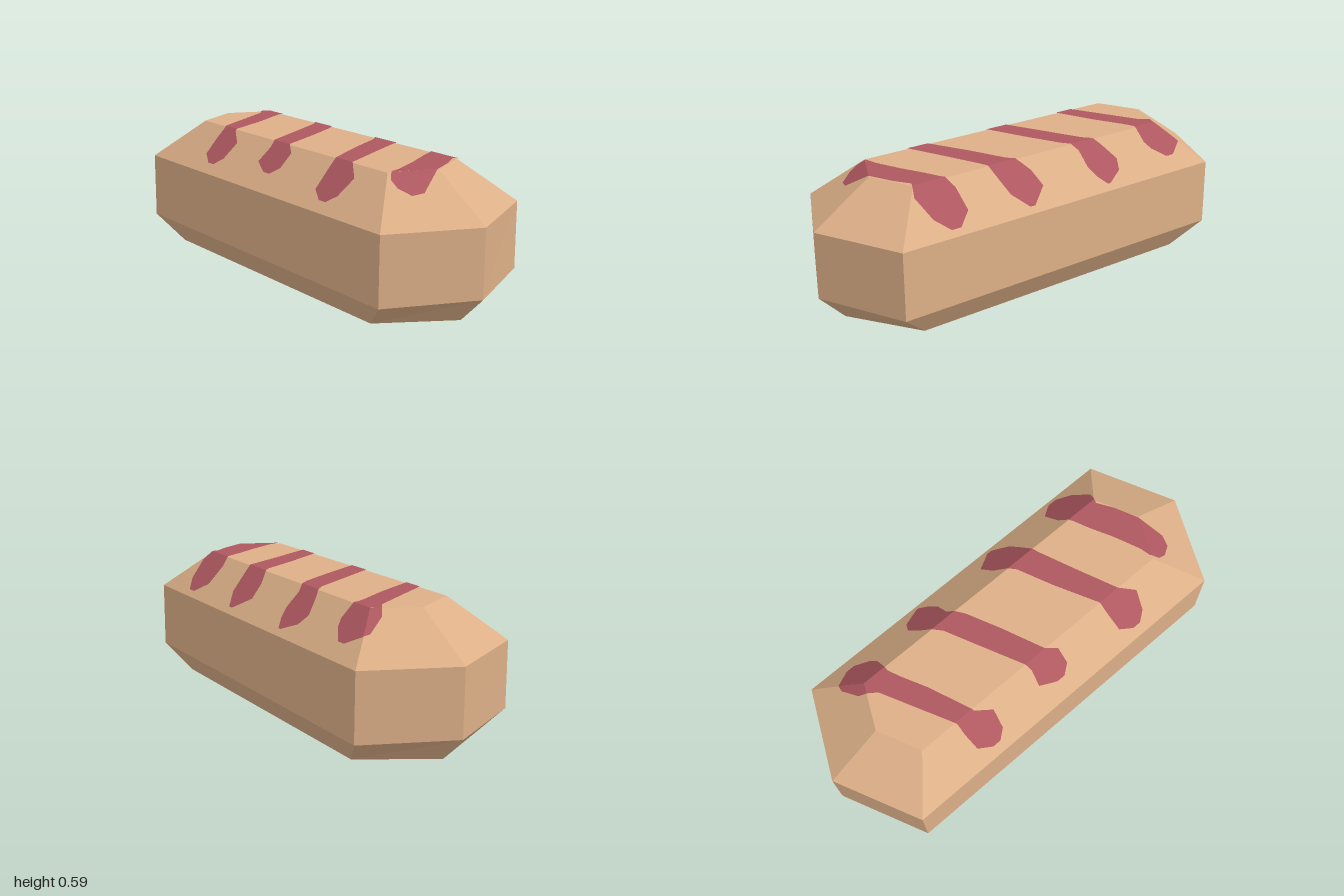
import * as THREE from 'three';

// Six-sided outline at one height: half width, side corner z, tip z (counter-clockwise from above)
const ring = (y, w, c, t) =>
  [[0, t], [w, c], [w, -c], [0, -t], [-w, -c], [-w, c]].map(([x, z]) => new THREE.Vector3(x, y, z));

const rings = [
  ring(0, 0.303, 0.69, 0.885),
  ring(0.118, 0.38, 0.82, 1),
  ring(0.411, 0.377, 0.82, 1),
  ring(0.585, 0.19, 0.65, 0.74),
];

// Faces between two neighbouring outlines
const band = (lo, hi) => lo.map((p, i) => {
  const j = (i + 1) % lo.length;
  return [p, lo[j], hi[j], hi[i]];
});

// Flat-shaded geometry from convex polygons
function fromPolygons(polys) {
  const pos = [];
  for (const p of polys)
    for (let i = 1; i < p.length - 1; i++)
      for (const v of [p[0], p[i], p[i + 1]]) pos.push(v.x, v.y, v.z);
  const g = new THREE.BufferGeometry();
  g.setAttribute('position', new THREE.Float32BufferAttribute(pos, 3));
  g.computeVertexNormals();
  return g;
}

// Clip a polygon, seen from above, to the outline of a convex face
function clipToFace(poly, face) {
  face.forEach((p, i) => {
    const q = face[(i + 1) % face.length];
    const side = (s) => (q.z - p.z) * (s.x - p.x) - (q.x - p.x) * (s.z - p.z);
    const out = [];
    poly.forEach((a, k) => {
      const b = poly[(k + 1) % poly.length];
      const da = side(a), db = side(b);
      if (da >= 0) out.push(a);
      if ((da >= 0) !== (db >= 0)) out.push(a.clone().lerp(b, da / (da - db)));
    });
    poly = out;
  });
  return poly;
}

// Drop a flat polygon onto the plane of a face, just above it
function drape(poly, face) {
  const plane = new THREE.Plane().setFromCoplanarPoints(face[0], face[1], face[2]);
  const n = plane.normal;
  return poly.map((v) => new THREE.Vector3(
    v.x, -(plane.constant + n.x * v.x + n.z * v.z) / n.y + 0.004, v.z));
}

// Sauce stripes: [x, back z, front z] along each stripe
const stripes = [
  [[-0.34, -0.4, -0.36], [-0.31, -0.46, -0.32], [-0.24, -0.47, -0.31], [-0.2, -0.47, -0.38], [0, -0.57, -0.46],
    [0.12, -0.63, -0.52], [0.17, -0.7, -0.54], [0.25, -0.735, -0.54], [0.28, -0.73, -0.56], [0.32, -0.66, -0.62]],
  [[-0.31, -0.01, 0.03], [-0.28, -0.09, 0.07], [-0.22, -0.08, 0.07], [-0.19, -0.09, 0.02], [0, -0.18, -0.06],
    [0.15, -0.25, -0.13], [0.22, -0.31, -0.18], [0.28, -0.35, -0.18], [0.32, -0.33, -0.2], [0.355, -0.25, -0.235]],
  [[-0.34, 0.41, 0.45], [-0.31, 0.35, 0.49], [-0.24, 0.34, 0.51], [-0.19, 0.335, 0.44], [0, 0.24, 0.36],
    [0.16, 0.17, 0.295], [0.24, 0.1, 0.27], [0.3, 0.08, 0.25], [0.355, 0.165, 0.19]],
  [[-0.2, 0.68, 0.72], [-0.17, 0.65, 0.77], [-0.12, 0.64, 0.785], [0, 0.59, 0.735], [0.1, 0.54, 0.69],
    [0.17, 0.51, 0.645], [0.23, 0.475, 0.67], [0.31, 0.47, 0.635], [0.355, 0.535, 0.58]],
];

export function createModel() {
  const model = new THREE.Group();
  model.name = 'stripedBun';

  const crust = new THREE.MeshStandardMaterial({ color: 0xdcaf87 });
  crust.name = 'crust';
  const sauce = new THREE.MeshStandardMaterial({ color: 0xaf5860 });
  sauce.name = 'sauce';

  // Bun: bottom, three bands of sides, top
  const polys = [[...rings[0]].reverse(), rings[3]];
  for (let i = 0; i < 3; i++) polys.push(...band(rings[i], rings[i + 1]));
  const bun = new THREE.Mesh(fromPolygons(polys), crust);
  bun.name = 'bun';
  model.add(bun);

  // Stripes lie on the flat top and fold down over the sloping faces
  const upperFaces = [rings[3], ...band(rings[2], rings[3])];
  stripes.forEach((s, k) => {
    const parts = [];
    for (let i = 0; i < s.length - 1; i++) {
      const [x0, b0, f0] = s[i], [x1, b1, f1] = s[i + 1];
      const quad = [[x0, f0], [x1, f1], [x1, b1], [x0, b0]].map(([x, z]) => new THREE.Vector3(x, 0, z));
      for (const face of upperFaces) {
        const piece = clipToFace(quad, face);
        if (piece.length > 2) parts.push(drape(piece, face));
      }
    }
    const stripe = new THREE.Mesh(fromPolygons(parts), sauce);
    stripe.name = `sauceStripe${k + 1}`;
    model.add(stripe);
  });

  return model;
}
